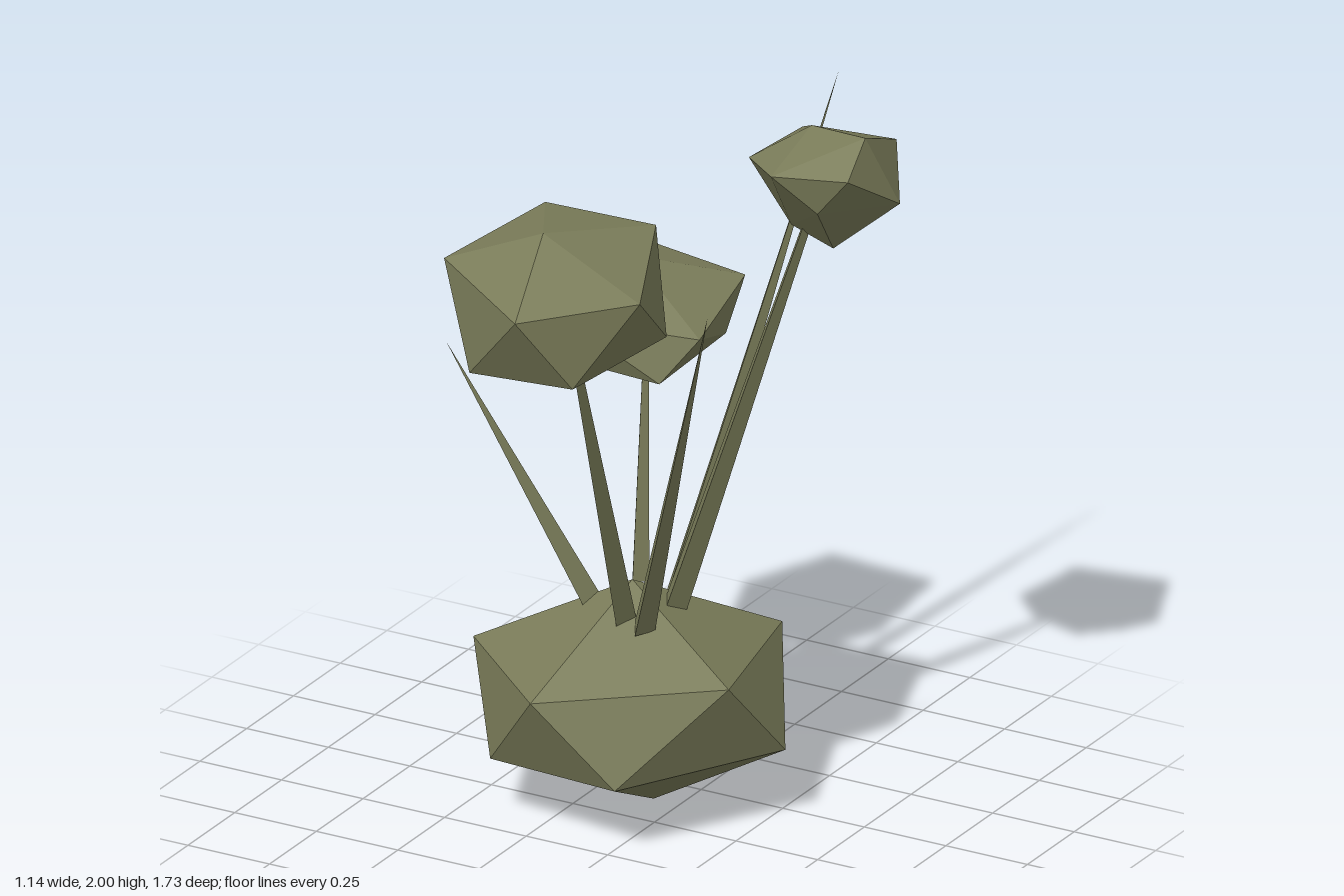
import * as THREE from 'three';
import { ConvexGeometry } from 'three/addons/geometries/ConvexGeometry.js';

const V = (p) => new THREE.Vector3(...p);

export function createModel() {
  const group = new THREE.Group();
  const olive = new THREE.MeshStandardMaterial({ color: 0x7a7c59, flatShading: true });
  olive.name = 'olive green';

  const add = (name, geometry) => {
    const mesh = new THREE.Mesh(geometry, olive);
    mesh.name = name;
    group.add(mesh);
    return mesh;
  };

  // Irregular faceted lump: top, upper ring, lower ring, bottom
  const lump = (name, corners) => add(name, new ConvexGeometry(corners.map(V)));

  // Three-sided tapering stalk between two points
  const stalk = (name, from, to, r0, r1) => {
    const a = V(from), b = V(to), dir = b.clone().sub(a);
    const mesh = add(name, new THREE.CylinderGeometry(r1, r0, dir.length(), 3));
    mesh.position.copy(a).add(b).multiplyScalar(0.5);
    mesh.quaternion.setFromUnitVectors(new THREE.Vector3(0, 1, 0), dir.normalize());
  };

  // Base mound
  lump('baseMound', [
    [-0.125, 0.64, -0.1],
    [-0.555, 0.42, 0], [-0.18, 0.437, 0.35], [0.258, 0.46, 0.053], [0.12, 0.43, -0.474], [-0.27, 0.397, -0.553],
    [-0.39, 0.175, 0.198], [0.04, 0.205, 0.283], [0.304, 0.212, -0.17], [-0.06, 0.175, -0.558], [-0.505, 0.117, -0.27],
    [-0.08, 0, -0.135],
  ]);

  // Flower heads
  lump('frontHead', [
    [0, 1.935, 0.595],
    [0.07, 1.79, 0.868], [0.305, 1.8, 0.61], [0.17, 1.88, 0.288], [-0.157, 1.884, 0.31], [-0.278, 1.82, 0.64],
    [-0.292, 1.635, 0.45], [-0.136, 1.56, 0.752], [0.18, 1.58, 0.752], [0.257, 1.61, 0.383], [0.037, 1.66, 0.255],
    [0.04, 1.54, 0.458],
  ]);
  lump('backHead', [
    [-0.316, 1.412, -0.435],
    [-0.097, 1.32, -0.655], [-0.06, 1.255, -0.346], [-0.374, 1.31, -0.178], [-0.53, 1.32, -0.4], [-0.42, 1.37, -0.632],
    [-0.517, 1.16, -0.57], [-0.295, 1.25, -0.702], [-0.085, 1.2, -0.53], [-0.14, 1.138, -0.27], [-0.43, 1.17, -0.23],
    [-0.3, 1.095, -0.5],
  ]);
  lump('sideHead', [
    [0.503, 2, -0.25], [0.316, 1.982, -0.29], [0.47, 1.905, -0.475], [0.206, 1.9, -0.433],
    [0.572, 1.8, -0.315], [0.525, 1.925, -0.118], [0.314, 1.913, -0.075], [0.172, 1.89, -0.205],
    [0.428, 1.81, -0.125], [0.43, 1.7, -0.468], [0.265, 1.69, -0.27], [0.395, 1.65, -0.267],
  ]);

  // Stems holding the heads
  stalk('frontStem', [-0.095, 0.56, 0], [0.02, 1.65, 0.5], 0.036, 0.01);
  stalk('backStem', [-0.185, 0.57, -0.235], [-0.29, 1.2, -0.46], 0.03, 0.008);
  stalk('sideStem', [-0.03, 0.56, -0.145], [0.34, 1.8, -0.28], 0.04, 0.012);

  // Bare pointed spikes
  stalk('backSpike', [-0.08, 0.55, -0.24], [0.07, 1.872, -0.865], 0.036, 0);
  stalk('leftSpike', [-0.03, 0.56, 0.015], [0.335, 1.652, 0.3], 0.036, 0);
  stalk('rightSpike', [-0.235, 0.56, -0.07], [-0.57, 1.315, 0.118], 0.034, 0);

  return group;
}
